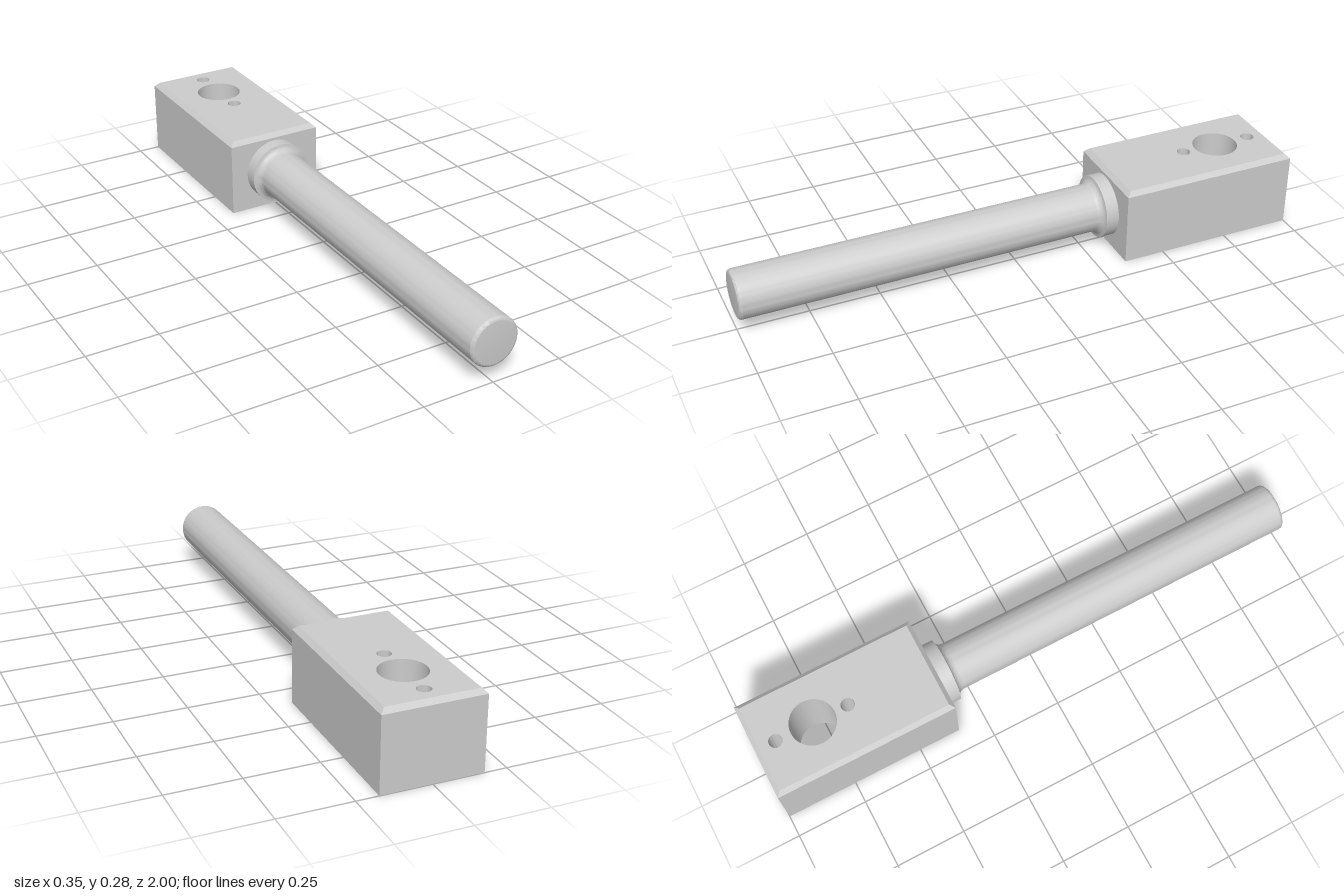
import * as THREE from 'three';
import { toCreasedNormals } from 'three/addons/utils/BufferGeometryUtils.js';

const W = 0.174, H = 0.278, BACK = -1, FRONT = -0.35, CHAMFER = 0.016;
const AXIS_Y = 0.14, SHAFT_R = 0.086, COLLAR_R = 0.112;

// Block with three through holes and a chamfered top rim
function blockGeometry() {
  const shape = new THREE.Shape();
  shape.moveTo(-W, -FRONT).lineTo(W, -FRONT).lineTo(W, -BACK).lineTo(-W, -BACK).closePath();
  for (const [z, r] of [[-0.925, 0.024], [-0.79, 0.08], [-0.662, 0.024]]) {
    shape.holes.push(new THREE.Path().absarc(0, -z, r, 0, Math.PI * 2, true));
  }
  const geo = new THREE.ExtrudeGeometry(shape, { depth: H, steps: 2, bevelEnabled: false, curveSegments: 24 });
  geo.rotateX(-Math.PI / 2);

  // Raise the middle ring to the chamfer line and pull the top corners inward
  const p = geo.attributes.position;
  const midZ = (FRONT + BACK) / 2;
  for (let i = 0; i < p.count; i++) {
    const x = p.getX(i), y = p.getY(i), z = p.getZ(i);
    if (Math.abs(y - H / 2) < 1e-4) p.setY(i, H - CHAMFER);
    if (Math.abs(y - H) < 1e-4 && Math.abs(x) > W - 1e-4) {
      p.setX(i, x - Math.sign(x) * CHAMFER);
      p.setZ(i, z - Math.sign(z - midZ) * CHAMFER);
    }
  }
  return toCreasedNormals(geo, 0.6);
}

// Turned handle: collar, concave fillet, shaft and rounded tip
function handleGeometry() {
  const fillet = COLLAR_R - SHAFT_R, filletEnd = -0.278, tip = 0.012, steps = 8;
  const profile = [new THREE.Vector2(COLLAR_R, FRONT)];
  for (let i = 0; i <= steps; i++) {
    const a = (i / steps) * Math.PI / 2;
    profile.push(new THREE.Vector2(COLLAR_R - fillet * Math.sin(a), filletEnd - fillet * Math.cos(a)));
  }
  for (let i = 0; i <= steps; i++) {
    const a = (i / steps) * Math.PI / 2;
    profile.push(new THREE.Vector2(SHAFT_R - tip + tip * Math.cos(a), 1 - tip + tip * Math.sin(a)));
  }
  profile.push(new THREE.Vector2(0, 1));
  const geo = new THREE.LatheGeometry(profile, 64);
  geo.rotateX(Math.PI / 2);
  return toCreasedNormals(geo, 0.6);
}

export function createModel() {
  const group = new THREE.Group();
  const material = new THREE.MeshStandardMaterial({ color: 0xcccccc });

  const block = new THREE.Mesh(blockGeometry(), material);
  block.name = 'headBlock';

  const handle = new THREE.Mesh(handleGeometry(), material);
  handle.name = 'handleShaft';
  handle.position.y = AXIS_Y;

  group.add(block, handle);
  return group;
}
